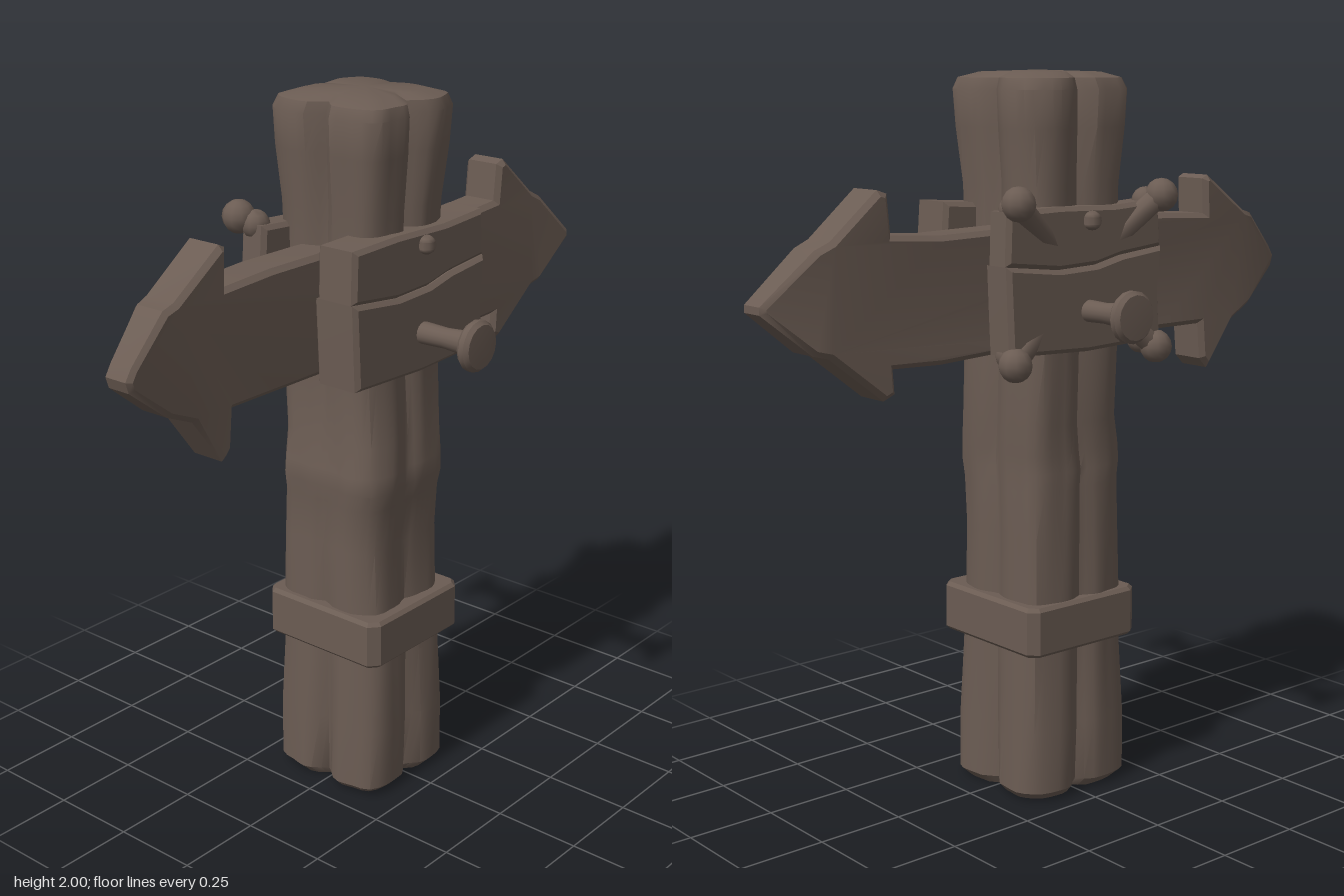
import * as THREE from 'three';
import { toCreasedNormals } from 'three/addons/utils/BufferGeometryUtils.js';

const wood = new THREE.MeshStandardMaterial({ color: 0x6b5c53 });
wood.name = 'weatheredWood';

function add(parent, name, geometry, crease = 0.6) {
  const mesh = new THREE.Mesh(toCreasedNormals(geometry, crease), wood);
  mesh.name = name;
  parent.add(mesh);
  return mesh;
}

// Board cut from a (z, y) outline, spanning x0..x1 with bevelled edges
function board(points, x0, x1, bevel) {
  const shape = new THREE.Shape(points.map(([z, y]) => new THREE.Vector2(z, y)));
  const g = new THREE.ExtrudeGeometry(shape, {
    depth: x1 - x0 - 2 * bevel, bevelEnabled: true, bevelSegments: 1,
    bevelThickness: bevel, bevelSize: bevel, bevelOffset: -bevel,
  });
  g.rotateY(-Math.PI / 2);
  g.translate(x1 - bevel, 0, 0);
  return g;
}

// Four-lobed trunk lofted from rings: y, xMin, xMax, zMin, zMax, groove depth
function trunk() {
  const rings = [
    [0.0, -0.17, 0.16, -0.16, 0.17, 0.2],
    [0.025, -0.195, 0.185, -0.185, 0.195, 0.2],
    [0.2, -0.195, 0.188, -0.18, 0.192, 0.17],
    [0.4, -0.188, 0.178, -0.172, 0.183, 0.13],
    [0.58, -0.19, 0.165, -0.168, 0.18, 0.1],
    [0.75, -0.187, 0.157, -0.167, 0.178, 0.08],
    [0.88, -0.185, 0.165, -0.166, 0.175, 0.06],
    [0.93, -0.183, 0.178, -0.165, 0.185, 0.06],
    [0.98, -0.18, 0.175, -0.167, 0.183, 0.08],
    [1.06, -0.185, 0.165, -0.17, 0.165, 0.09],
    [1.25, -0.188, 0.158, -0.17, 0.17, 0.1],
    [1.5, -0.185, 0.16, -0.16, 0.165, 0.14],
    [1.7, -0.185, 0.168, -0.163, 0.172, 0.19],
    [1.85, -0.195, 0.184, -0.178, 0.188, 0.21],
    [1.95, -0.198, 0.19, -0.184, 0.194, 0.22],
    [1.98, -0.185, 0.18, -0.172, 0.182, 0.22],
    [1.995, -0.14, 0.13, -0.125, 0.135, 0.2],
  ];
  const n = 56, pos = [], idx = [];
  rings.forEach(([y, xa, xb, za, zb, groove]) => {
    for (let i = 0; i < n; i++) {
      const a = (i / n) * Math.PI * 2;
      const u = Math.cos(a), v = Math.sin(a);
      const toAxis = Math.abs(a - Math.round(a / (Math.PI / 2)) * Math.PI / 2);
      let r = 1 / Math.pow(Math.abs(u) ** 5 + Math.abs(v) ** 5, 0.2);
      r *= 1 - groove * Math.exp(-((toAxis / 0.16) ** 2));
      r *= 1 + 0.012 * Math.sin(a * 11 + y * 3) + 0.008 * Math.sin(a * 17 - y * 5);
      pos.push((xa + xb) / 2 + u * r * (xb - xa) / 2, y, (za + zb) / 2 + v * r * (zb - za) / 2);
    }
  });
  const last = rings.length - 1;
  for (let k = 0; k < last; k++) {
    for (let i = 0; i < n; i++) {
      const a = k * n + i, b = k * n + (i + 1) % n;
      idx.push(a, a + n, b, b, a + n, b + n);
    }
  }
  const bottom = pos.length / 3, top = bottom + 1;
  pos.push(0, 0, 0, 0, 2, 0);
  for (let i = 0; i < n; i++) {
    const j = (i + 1) % n;
    idx.push(bottom, i, j, top, last * n + j, last * n + i);
  }
  const g = new THREE.BufferGeometry();
  g.setAttribute('position', new THREE.Float32BufferAttribute(pos, 3));
  g.setIndex(idx);
  return g;
}

// Double-headed arrow board, both tips bending towards +x
function arrow() {
  const g = board([
    [0.92, 1.44], [0.9, 1.47], [0.78, 1.58], [0.74, 1.59], [0.58, 1.7], [0.56, 1.69], [0.565, 1.59],
    [0.4, 1.6], [0.2, 1.6], [-0.2, 1.59], [-0.4, 1.585], [-0.55, 1.595], [-0.56, 1.7], [-0.59, 1.71],
    [-0.73, 1.59], [-0.77, 1.57], [-0.91, 1.44], [-0.91, 1.42], [-0.78, 1.31], [-0.74, 1.3],
    [-0.58, 1.175], [-0.545, 1.19], [-0.55, 1.255], [-0.4, 1.25], [-0.2, 1.26], [0.2, 1.27],
    [0.4, 1.27], [0.55, 1.27], [0.56, 1.165], [0.59, 1.135], [0.69, 1.27], [0.78, 1.31], [0.91, 1.41],
  ], -0.09, 0.035, 0.014);
  const p = g.attributes.position;
  for (let i = 0; i < p.count; i++) {
    const t = THREE.MathUtils.smoothstep(Math.abs(p.getZ(i)), 0.68, 0.93);
    // tips thin out and lean sideways
    p.setX(i, p.getX(i) * (1 - 0.3 * t) + 0.025 * t);
  }
  return g;
}

// Cracked plate made of two planks, with a spike and a rivet; faces +x
function sidePlate(name, x0, x1) {
  const group = new THREE.Group();
  group.name = name;
  const crack = [[-0.27, 1.525], [-0.12, 1.51], [-0.03, 1.49], [0.1, 1.485], [0.28, 1.505]];
  add(group, 'lowerPlank', board([[0.27, 1.27], [0.275, 1.38], [0.28, 1.505],
    ...crack.slice(0, 4).reverse(), [-0.26, 1.4], [-0.27, 1.27], [0, 1.26]], x0, x1, 0.012));
  add(group, 'upperPlank', board([...crack, [0.275, 1.645], [0.1, 1.65], [-0.1, 1.645],
    [-0.26, 1.655]], x0 + 0.01, x1 - 0.004, 0.012));
  const spike = new THREE.LatheGeometry([[0, 0.1], [0.034, 0.1], [0.028, 0.28], [0.034, 0.355],
    [0.062, 0.36], [0.07, 0.37], [0.07, 0.385], [0.06, 0.397], [0, 0.4]]
    .map(([r, y]) => new THREE.Vector2(r, y)), 16);
  spike.rotateZ(-Math.PI / 2);
  add(group, 'spike', spike).position.set(0, 1.37, 0);
  const rivet = new THREE.SphereGeometry(0.026, 10, 8);
  add(group, 'rivet', rivet, 1).position.set(x1 + 0.002, 1.61, -0.005);
  return group;
}

// Bone-like peg with a pair of knobs at each end
function crossedPeg(sign) {
  const group = new THREE.Group();
  group.name = 'crossedPeg';
  const a = new THREE.Vector3(-0.215, 1.66, 0.245 * sign);
  const b = new THREE.Vector3(-0.2, 1.255, -0.245 * sign);
  const mid = new THREE.Vector3(-0.16, 1.46, 0);
  add(group, 'shaft', new THREE.TubeGeometry(new THREE.CatmullRomCurve3([a, mid, b]), 10, 0.032, 8), 1);
  for (const end of [a, b]) {
    const up = end === a ? 1 : -1;
    const side = Math.sign(end.z);
    for (const [dx, dy, dz, r] of [[-0.008, 0.006, 0.008, 0.046], [0.035, -0.012, -0.01, 0.04]]) {
      const knob = add(group, 'knob', new THREE.SphereGeometry(r, 10, 8), 1);
      knob.position.set(end.x + dx, end.y + dy * up, end.z + dz * side);
    }
  }
  return group;
}

export function createModel() {
  const model = new THREE.Group();
  model.name = 'signpost';
  add(model, 'trunk', trunk(), 0.55);
  add(model, 'arrowBoard', arrow(), 0.4);

  // Strap around the lower trunk
  const strap = new THREE.Shape([[0.2, -0.165], [0.2, 0.17], [0.175, 0.2], [-0.18, 0.2], [-0.205, 0.17],
    [-0.205, -0.165], [-0.18, -0.192], [0.175, -0.192]].map(([x, z]) => new THREE.Vector2(x, -z)).reverse());
  const strapGeo = new THREE.ExtrudeGeometry(strap, { depth: 0.12, bevelSize: 0.01, bevelOffset: -0.01, bevelThickness: 0.01, bevelSegments: 1 });
  strapGeo.rotateX(-Math.PI / 2);
  add(model, 'strap', strapGeo, 0.4).position.y = 0.44;

  // Plates on both sides
  model.add(sidePlate('leftPlate', 0.06, 0.203));
  const right = sidePlate('rightPlate', 0.115, 0.215);
  right.rotation.y = Math.PI;
  model.add(right);

  model.add(crossedPeg(1), crossedPeg(-1));
  return model;
}
